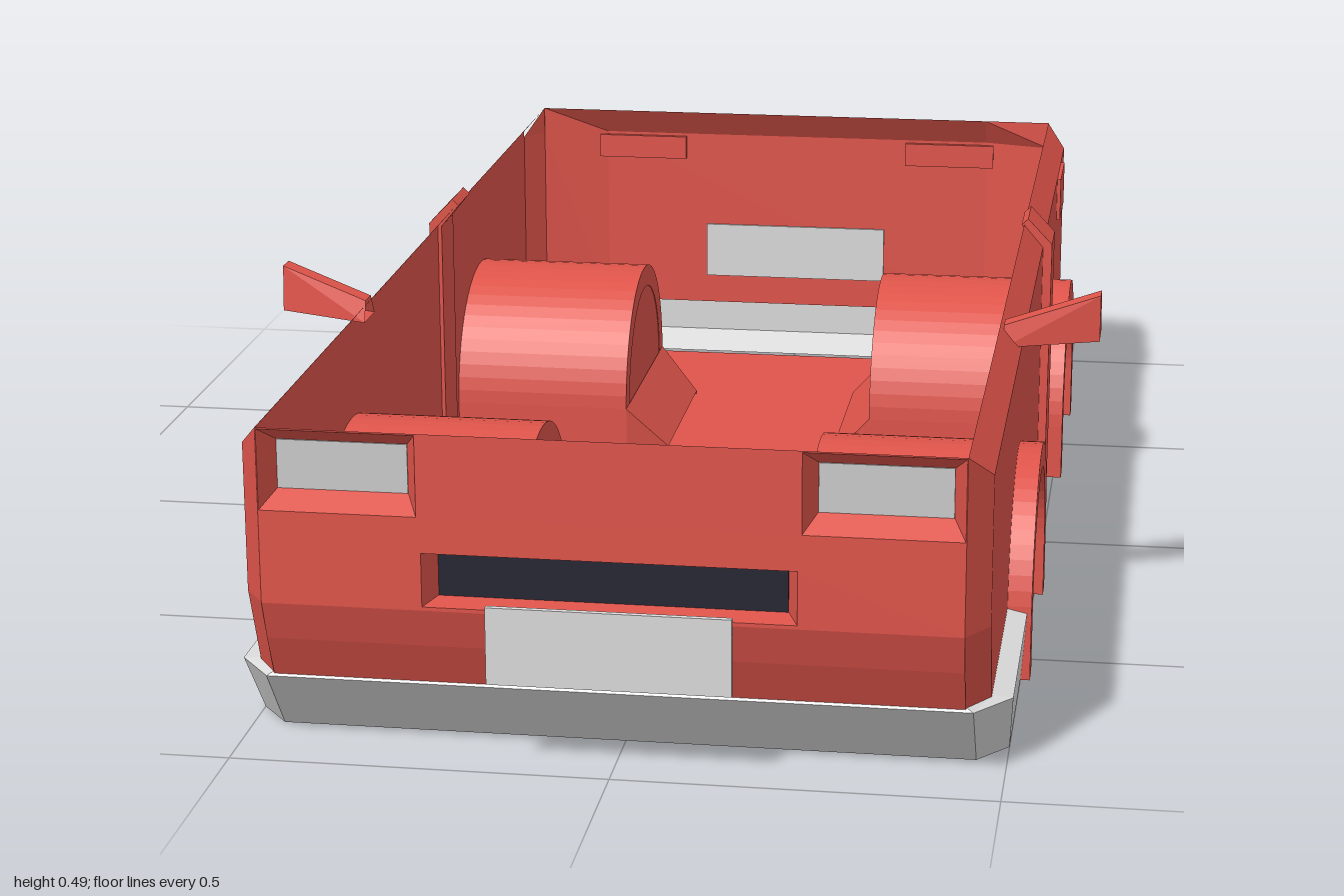
import * as THREE from 'three';

const mat = (name, color) => {
  const m = new THREE.MeshStandardMaterial({ color, side: THREE.DoubleSide });
  m.name = name;
  return m;
};

// Flat-shaded sheet spanning rows of points
function sheet(rows) {
  const p = [];
  for (let r = 0; r < rows.length - 1; r++) {
    for (let c = 0; c < rows[r].length - 1; c++) {
      const a = rows[r][c], b = rows[r][c + 1], d = rows[r + 1][c], e = rows[r + 1][c + 1];
      p.push(...a, ...b, ...e, ...a, ...e, ...d);
    }
  }
  const g = new THREE.BufferGeometry();
  g.setAttribute('position', new THREE.Float32BufferAttribute(p, 3));
  g.computeVertexNormals();
  return g;
}

// Half path of [x, z] at height y, mirrored across x = 0
const loop = (half, y) => [
  ...half.map(([x, z]) => [x, y, z]),
  ...half.slice().reverse().map(([x, z]) => [-x, y, z]),
];

// Closed rectangle of points, facing z
const frame = (x0, x1, y0, y1, z) =>
  [[x0, y0, z], [x1, y0, z], [x1, y1, z], [x0, y1, z], [x0, y0, z]];

const polygon = (pts) => new THREE.Shape(pts.map(([x, y]) => new THREE.Vector2(x, y)));
const rectHole = (x0, x1, y0, y1) =>
  new THREE.Path([[x0, y0], [x0, y1], [x1, y1], [x1, y0]].map(([x, y]) => new THREE.Vector2(x, y)));

export function createModel() {
  const car = new THREE.Group();
  car.name = 'openCarBody';
  const red = mat('bodyRed', 0xde544a);
  const light = mat('bumperGrey', 0xdadada);
  const glass = mat('lampGrey', 0xcacaca);
  const dark = mat('grilleDark', 0x262633);

  const add = (name, geo, material) => {
    const m = new THREE.Mesh(geo, material);
    m.name = name;
    car.add(m);
    return m;
  };
  const box = (name, material, x0, x1, y0, y1, z0, z1) =>
    add(name, new THREE.BoxGeometry(x1 - x0, y1 - y0, z1 - z0), material)
      .position.set((x0 + x1) / 2, (y0 + y1) / 2, (z0 + z1) / 2);

  const AXLES = [0.39, -0.51], HUB = 0.09, R = 0.19, RIN = 0.155;

  // Floor with wheel openings
  const floor = polygon([[0.48, 0.82], [0.45, 0.87], [-0.45, 0.87], [-0.48, 0.82],
    [-0.48, -0.9], [-0.45, -0.94], [0.45, -0.94], [0.48, -0.9]]);
  for (const z of AXLES) for (const s of [-1, 1]) {
    const a = s > 0 ? 0.2 : -0.475;
    floor.holes.push(rectHole(a, a + 0.275, z - 0.18, z + 0.18));
  }
  add('floor', new THREE.ShapeGeometry(floor).rotateX(Math.PI / 2).translate(0, 0.012, 0), red);

  // Front panel with lamp and grille recesses
  const front = polygon([[-0.45, 0.22], [0.45, 0.22], [0.45, 0.455], [-0.45, 0.455]]);
  front.holes.push(rectHole(-0.24, 0.24, 0.225, 0.297));
  for (const s of [-1, 1]) front.holes.push(rectHole(s * 0.347 - 0.102, s * 0.347 + 0.102, 0.345, 0.453));
  add('frontPanel', new THREE.ShapeGeometry(front).translate(0, 0, 0.995), red);
  add('frontLowerPanel', sheet([
    [[-0.45, 0.1, 0.945], [0.45, 0.1, 0.945]],
    [[-0.45, 0.165, 0.975], [0.45, 0.165, 0.975]],
    [[-0.45, 0.22, 0.995], [0.45, 0.22, 0.995]]]), red);
  add('grilleSurround', sheet([frame(-0.24, 0.24, 0.225, 0.297, 0.995), frame(-0.225, 0.225, 0.23, 0.29, 0.96)]), red);
  box('grille', dark, -0.225, 0.225, 0.23, 0.29, 0.956, 0.962);
  box('frontPlate', light, -0.158, 0.158, 0.126, 0.23, 0.992, 1.0);

  // Rear panel: bowed, with a sloping upper lip
  const rearPlan = [[0.48, -0.9], [0.45, -0.94], [0.34, -0.97]];
  add('rearPanel', sheet([loop(rearPlan, 0.1), loop(rearPlan, 0.41),
    loop([[0.45, -0.935], [0.45, -0.94], [0.34, -0.94]], 0.455)]), red);
  box('rearPlate', light, -0.16, 0.16, 0.15, 0.245, -0.975, -0.966);

  // Front bumper, sloping under the nose
  add('frontBumper', sheet([
    loop([[0.48, 0.58], [0.48, 0.9], [0.45, 0.945]], 0.108),
    loop([[0.507, 0.58], [0.507, 0.89], [0.46, 0.95]], 0.102),
    loop([[0.5, 0.57], [0.5, 0.82], [0.46, 0.87]], 0.005)]), light);

  // Rear bumper wrapping the corners
  const rearOuter = [[0.485, -0.87], [0.5, -0.92], [0.47, -0.97], [0.38, -1.0]];
  add('rearBumper', sheet([
    loop([[0.48, -0.87], [0.48, -0.9], [0.45, -0.94], [0.34, -0.97]], 0.11),
    loop(rearOuter, 0.105),
    loop(rearOuter, 0.04),
    loop([[0.48, -0.87], [0.48, -0.9], [0.45, -0.935], [0.36, -0.945]], 0.014)]), light);

  // Arch section shared by all wheel housings
  const arch = new THREE.Shape();
  arch.moveTo(-R, 0.005);
  arch.lineTo(-R, HUB);
  arch.absarc(0, HUB, R, Math.PI, 0, true);
  arch.lineTo(R, 0.005);
  arch.lineTo(RIN, 0.005);
  arch.lineTo(RIN, HUB);
  arch.absarc(0, HUB, RIN, 0, Math.PI, false);
  arch.lineTo(-RIN, 0.005);
  const cap = new THREE.Shape();
  cap.moveTo(-R, 0.005);
  cap.lineTo(-R, HUB);
  cap.absarc(0, HUB, R, Math.PI, 0, true);
  cap.lineTo(R, 0.005);

  for (const s of [-1, 1]) {
    const side = s > 0 ? 'left' : 'right';

    // Side wall with arch cut-outs
    const wall = new THREE.Shape();
    wall.moveTo(-0.9, 0.012);
    for (const z of [...AXLES].reverse()) {
      wall.lineTo(z - 0.17, 0.012);
      wall.lineTo(z - 0.17, HUB);
      wall.absarc(z, HUB, 0.17, Math.PI, 0, true);
      wall.lineTo(z + 0.17, 0.012);
    }
    for (const [z, y] of [[0.82, 0.012], [0.9, 0.1], [0.95, 0.22], [0.95, 0.42], [-0.9, 0.42]]) wall.lineTo(z, y);
    add(side + 'SideWall', new THREE.ShapeGeometry(wall, 16).rotateY(-Math.PI / 2).translate(s * 0.48, 0, 0), red);

    // Bevelled rim and chamfered front corner
    add(side + 'Rim', sheet([
      [[s * 0.48, 0.42, -0.9], [s * 0.48, 0.42, 0.95]],
      [[s * 0.45, 0.455, -0.94], [s * 0.45, 0.455, 0.995]]]), red);
    add(side + 'FrontCorner', sheet(
      [[0.1, 0.945, 0.9], [0.22, 0.995, 0.95], [0.42, 0.995, 0.95]]
        .map(([y, a, b]) => [[s * 0.45, y, a], [s * 0.48, y, b]])
        .concat([[[s * 0.45, 0.455, 0.995], [s * 0.45, 0.455, 0.995]]])), red);

    // Door pillar strip following the rim
    const strip = polygon([[0.474, 0.01], [0.492, 0.01], [0.494, 0.425], [0.456, 0.465], [0.446, 0.455], [0.474, 0.42]]
      .map(([x, y]) => [s * x, y]));
    add(side + 'PillarStrip', new THREE.ExtrudeGeometry(strip, { depth: 0.085, bevelEnabled: false })
      .translate(0, 0, -0.28), red);

    // Wheel housings
    AXLES.forEach((z, i) => {
      const end = i ? 'Rear' : 'Front';
      add(side + end + 'WheelArch', new THREE.ExtrudeGeometry(arch, { depth: 0.313, bevelEnabled: false, curveSegments: 14 })
        .rotateY(Math.PI / 2).translate(s > 0 ? 0.2 : -0.513, 0, z), red);
      add(side + end + 'WheelArchCap', new THREE.ShapeGeometry(cap, 14)
        .rotateY(Math.PI / 2).translate(s * 0.201, 0, z), red);
      // Sloping foot on the inner face
      if (i || s < 0) {
        const t = s < 0 ? 0.03 : 0;
        add(side + end + 'WheelArchFoot', sheet([
          [[s * 0.2, 0.015, z - R], [s * 0.2, HUB, z - R], [s * 0.2, HUB, z + R], [s * 0.2, 0.015, z + R]],
          [[s * 0.135, 0.015, z - R + t], [s * 0.135, 0.02, z - R + t],
            [s * 0.135, 0.02, z + R - t], [s * 0.135, 0.015, z + R - t]]]), red);
      }
    });

    // Recessed headlamp
    const c = s * 0.347;
    add(side + 'HeadlampSurround', sheet([
      frame(c - 0.102, c + 0.102, 0.345, 0.453, 0.995),
      frame(c - 0.085, c + 0.085, 0.365, 0.43, 0.96)]), red);
    box(side + 'Headlamp', glass, c - 0.085, c + 0.085, 0.365, 0.43, 0.956, 0.962);

    // Rear lamp ledge
    const k = s * 0.275;
    box(side + 'RearLedge', red, k - 0.078, k + 0.078, 0.365, 0.405, -0.98, -0.962);

    // Wing mirror with glass on its rear face
    const inner = [[0.425, 0.395], [0.455, 0.385], [0.455, 0.355], [0.425, 0.335]].map(([y, z]) => [s * 0.455, y, z]);
    const outer = [[0.425, 0.345], [0.49, 0.34], [0.49, 0.31], [0.425, 0.28]].map(([y, z]) => [s * 0.587, y, z]);
    add(side + 'Mirror', sheet([[...inner, inner[0]], [...outer, outer[0]]]), red);
    add(side + 'MirrorEnd', sheet([[outer[0], outer[1]], [outer[3], outer[2]]]), red);
    const mix = (a, b, t) => a.map((v, i) => v + (b[i] - v) * t);
    const pane = (t, u) => {
      const q = mix(mix(inner[3], outer[3], t), mix(inner[2], outer[2], t), u);
      return [q[0], q[1] + 0.002, q[2] - 0.004];
    };
    add(side + 'MirrorGlass', sheet([
      [pane(0.35, 0.1), pane(0.35, 0.9)], [pane(0.96, 0.1), pane(0.96, 0.9)]]), glass);
  }

  // Filler flap on the left side
  box('fillerFlap', red, 0.478, 0.486, 0.35, 0.42, -0.79, -0.66);

  return car;
}
